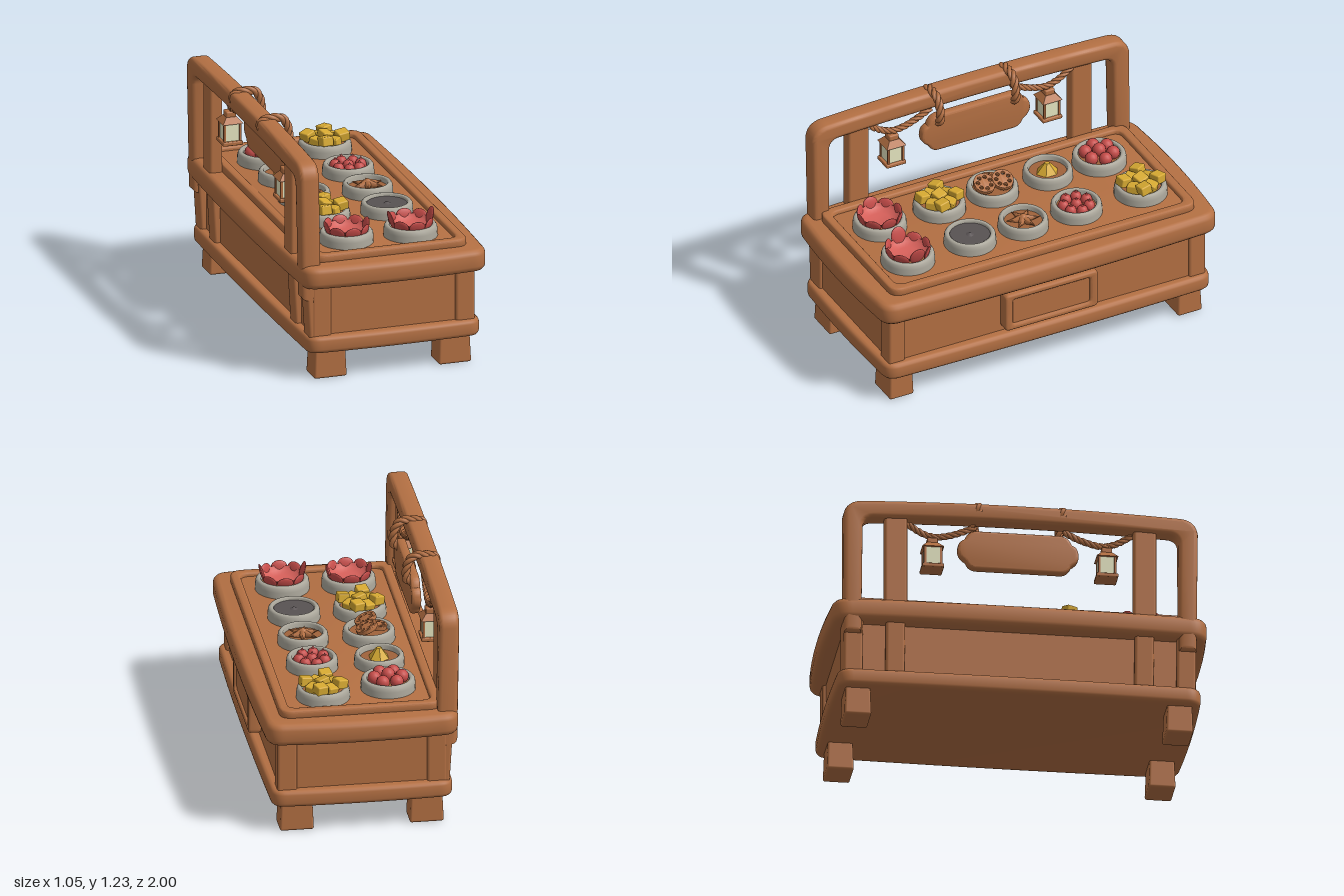
import * as THREE from 'three';
import { toCreasedNormals } from 'three/addons/utils/BufferGeometryUtils.js';
import { RoundedBoxGeometry } from 'three/addons/geometries/RoundedBoxGeometry.js';

const material = (name, color, side = THREE.FrontSide) => {
  const m = new THREE.MeshStandardMaterial({ color, side });
  m.name = name;
  return m;
};

export function createModel() {
  const root = new THREE.Group();
  root.name = 'foodCart';
  const wood = material('wood', 0xb47043);
  const darkWood = material('darkWood', 0xa0633b);
  const stone = material('stone', 0xaca89c, THREE.DoubleSide);
  const red = material('red', 0xc64c49);
  const pink = material('pink', 0xd6605a, THREE.DoubleSide);
  const yellow = material('yellow', 0xd6a932);
  const charcoal = material('charcoal', 0x585253);
  const glow = material('lampGlass', 0xeeeec8);

  const add = (name, geo, mat, x = 0, y = 0, z = 0, parent = root) => {
    const m = new THREE.Mesh(geo, mat);
    m.name = name;
    m.position.set(x, y, z);
    parent.add(m);
    return m;
  };
  const box = (w, h, d, r = 0.015) => new RoundedBoxGeometry(w, h, d, 2, r);

  // Rounded rectangle whose sides may bulge outward
  const roundRect = (w, h, r, bow = 0, S = THREE.Shape) => {
    const a = w / 2, b = h / 2, s = new S();
    s.moveTo(-a + r, -b);
    s.quadraticCurveTo(0, -b - 2 * bow, a - r, -b);
    s.quadraticCurveTo(a, -b, a, -b + r);
    s.quadraticCurveTo(a + 2 * bow, 0, a, b - r);
    s.quadraticCurveTo(a, b, a - r, b);
    s.quadraticCurveTo(0, b + 2 * bow, -a + r, b);
    s.quadraticCurveTo(-a, b, -a, b - r);
    s.quadraticCurveTo(-a - 2 * bow, 0, -a, -b + r);
    s.quadraticCurveTo(-a, -b, -a + r, -b);
    return s;
  };
  const extrude = (shape, depth, bevel) => {
    const g = new THREE.ExtrudeGeometry(shape, {
      depth: depth - 2 * bevel, bevelThickness: bevel, bevelSize: bevel,
      bevelOffset: -bevel, bevelSegments: 3, curveSegments: 10,
    });
    g.translate(0, 0, bevel - depth / 2);
    return toCreasedNormals(g, 0.7);
  };
  // Horizontal slab resting at height y
  const slab = (name, w, d, h, y, r, bevel, bow = 0, hole = null) => {
    const s = roundRect(w, d, r, bow);
    if (hole) s.holes.push(roundRect(hole[0], hole[1], 0.05, 0, THREE.Path));
    return add(name, extrude(s, h, bevel).rotateX(-Math.PI / 2), wood, 0, y + h / 2, 0);
  };

  // Cabinet
  slab('lowerRim', 0.95, 1.9, 0.09, 0.15, 0.08, 0.022, 0.01);
  slab('upperRim', 1.01, 1.96, 0.12, 0.51, 0.1, 0.032, 0.018);
  slab('counterFloor', 0.8, 1.72, 0.03, 0.618, 0.06, 0.005);
  slab('counterFrame', 0.845, 1.78, 0.05, 0.62, 0.07, 0.012, 0, [0.745, 1.68]);
  add('cabinetBody', new THREE.BoxGeometry(0.86, 0.34, 1.81), wood, 0, 0.37, 0);
  for (const sx of [-1, 1]) for (const sz of [-1, 1]) {
    add('cornerPost', box(0.105, 0.34, 0.095), wood, sx * 0.392, 0.37, sz * 0.875);
    const g = box(0.178, 0.18, 0.14, 0.012), p = g.attributes.position;
    for (let i = 0; i < p.count; i++) {
      const k = 0.96 - p.getY(i) * 0.5;
      p.setX(i, p.getX(i) * k);
      p.setZ(i, p.getZ(i) * k);
    }
    add('leg', g, wood, sx * 0.34, 0.09, sz * 0.84);
  }

  // Drawer front on the long side
  const drawer = roundRect(0.54, 0.22, 0.025);
  drawer.holes.push(roundRect(0.45, 0.15, 0.015, 0, THREE.Path));
  add('drawerFrame', extrude(drawer, 0.07, 0.012).rotateY(Math.PI / 2), wood, 0.461, 0.377, 0);
  add('drawerPanel', new THREE.BoxGeometry(0.06, 0.18, 0.48), wood, 0.452, 0.377, 0);

  // Back arch
  const arch = new THREE.Shape();
  arch.moveTo(0.92, 0.44);
  arch.lineTo(0.925, 1.1);
  arch.quadraticCurveTo(0.915, 1.18, 0.83, 1.185);
  arch.quadraticCurveTo(0, 1.225, -0.83, 1.185);
  arch.quadraticCurveTo(-0.915, 1.18, -0.925, 1.1);
  arch.lineTo(-0.92, 0.44);
  arch.lineTo(-0.83, 0.44);
  arch.lineTo(-0.825, 1.04);
  arch.quadraticCurveTo(-0.82, 1.09, -0.77, 1.092);
  arch.quadraticCurveTo(0, 1.125, 0.77, 1.092);
  arch.quadraticCurveTo(0.82, 1.09, 0.825, 1.04);
  arch.lineTo(0.83, 0.44);
  arch.closePath();
  const archGeo = extrude(arch, 0.105, 0.022).rotateY(-Math.PI / 2), ap = archGeo.attributes.position;
  // Lean the feet of the arch in toward the cabinet
  for (let i = 0; i < ap.count; i++) if (ap.getY(i) < 0.5) ap.setX(i, ap.getX(i) + (0.5 - ap.getY(i)) * 0.25);
  add('backArch', archGeo, wood, -0.457, 0, 0);
  for (const s of [-1, 1]) {
    add('innerPost', box(0.07, 0.56, 0.12), wood, -0.455, 0.85, s * 0.65);
    for (const z of [0.65, 0.87]) {
      const strip = add('backStrip', box(0.045, 0.32, 0.1), wood, -0.445, 0.37, s * z);
      strip.rotation.z = 0.06;
    }
  }

  // Hanging sign board with sloping shoulders
  const sign = new THREE.Shape();
  sign.moveTo(-0.22, 0.878);
  sign.lineTo(0.22, 0.878);
  sign.quadraticCurveTo(0.26, 0.88, 0.275, 0.92);
  sign.quadraticCurveTo(0.325, 0.95, 0.315, 1.0);
  sign.quadraticCurveTo(0.31, 1.035, 0.28, 1.045);
  sign.quadraticCurveTo(0.265, 1.09, 0.22, 1.095);
  sign.lineTo(-0.22, 1.095);
  sign.quadraticCurveTo(-0.265, 1.09, -0.28, 1.045);
  sign.quadraticCurveTo(-0.31, 1.035, -0.315, 1.0);
  sign.quadraticCurveTo(-0.325, 0.95, -0.275, 0.92);
  sign.quadraticCurveTo(-0.26, 0.88, -0.22, 0.878);
  add('signBoard', extrude(sign, 0.05, 0.014).rotateY(Math.PI / 2), wood, -0.378, 0, 0);

  // Twisted ropes made of three strands
  const rope = (name, pts, r, turns) => {
    const curve = new THREE.CatmullRomCurve3(pts.map(p => new THREE.Vector3(...p)));
    const n = 60, f = curve.computeFrenetFrames(n);
    for (let s = 0; s < 3; s++) {
      const strand = [];
      for (let i = 0; i <= n; i++) {
        const a = (i / n * turns + s / 3) * Math.PI * 2;
        strand.push(curve.getPointAt(i / n)
          .addScaledVector(f.normals[i], Math.cos(a) * r * 0.5)
          .addScaledVector(f.binormals[i], Math.sin(a) * r * 0.5));
      }
      add(name, new THREE.TubeGeometry(new THREE.CatmullRomCurve3(strand), 80, r * 0.6, 7), wood);
    }
  };
  for (const s of [-1, 1]) {
    const z = s * 0.22;
    rope('signRope', [[-0.495, 1.15, z], [-0.485, 1.19, z], [-0.43, 1.203, z], [-0.37, 1.195, z],
      [-0.34, 1.14, z], [-0.34, 1.07, z], [-0.37, 1.05, z]], 0.022, 2.5);
    rope('lampRope', [[-0.43, 1.1, s * 0.23], [-0.425, 1.06, s * 0.32], [-0.42, 1.035, s * 0.43],
      [-0.42, 1.05, s * 0.5], [-0.43, 1.1, s * 0.59]], 0.017, 4);

    // Lantern
    const lamp = new THREE.Group();
    lamp.name = 'lantern';
    lamp.position.set(-0.428, 0, s * 0.455);
    root.add(lamp);
    add('lampBase', box(0.11, 0.022, 0.115, 0.006), wood, 0, 0.85, 0, lamp);
    add('lampPane', new THREE.BoxGeometry(0.084, 0.1, 0.084), glow, 0, 0.91, 0, lamp);
    for (const x of [-1, 1]) for (const q of [-1, 1])
      add('lampBar', new THREE.BoxGeometry(0.012, 0.1, 0.012), wood, x * 0.042, 0.91, q * 0.042, lamp);
    const roof = new THREE.CylinderGeometry(0.04, 0.08, 0.032, 4).rotateY(Math.PI / 4);
    add('lampRoof', toCreasedNormals(roof, 0.5), wood, 0, 0.972, 0, lamp);
    add('lampCap', box(0.056, 0.034, 0.056, 0.008), wood, 0, 1.0, 0, lamp);
    add('lampRing', new THREE.TorusGeometry(0.018, 0.006, 6, 14).rotateY(Math.PI / 2), wood, 0, 1.024, 0, lamp);
  }

  // Bowl fillings
  const fill = {
    petals(g, tallHeight) {
      const cup = [[0, 0.69], [0.06, 0.693], [0.095, 0.708], [0.107, 0.73]];
      add('petalCup', new THREE.LatheGeometry(cup.map(p => new THREE.Vector2(...p)), 28), pink, 0, 0, 0, g);
      for (let i = 0; i < 8; i++) {
        const pivot = new THREE.Group();
        pivot.name = 'petalHolder';
        pivot.rotation.y = i / 8 * Math.PI * 2;
        g.add(pivot);
        const h = i % 4 ? 0.034 : tallHeight;
        const petal = add('petal', new THREE.SphereGeometry(1, 14, 10), red, 0.109, 0.688 + h, 0, pivot);
        petal.scale.set(0.01, h, 0.045);
        petal.rotation.z = -0.3;
      }
    },
    cubes(g) {
      for (let i = 0; i < 9; i++) {
        const x = (i % 3 - 1) * 0.066, z = (Math.floor(i / 3) - 1) * 0.066;
        const c = add('cube', box(0.066, 0.05, 0.066, 0.007), yellow, x, 0.71 + (i % 2 ? 0 : 0.022), z, g);
        c.rotation.set(Math.sin(i * 5) * 0.2, Math.sin(i * 3) * 0.4, Math.cos(i * 7) * 0.2);
      }
      g.rotation.y = 0.5;
    },
    apples(g) {
      for (let i = 0; i < 7; i++) {
        const a = i * Math.PI / 3, r = i < 6 ? 0.074 : 0;
        add('apple', new THREE.SphereGeometry(0.036, 14, 10), red, Math.cos(a) * r, i < 6 ? 0.71 : 0.725, Math.sin(a) * r, g);
      }
    },
    berries(g) {
      for (let i = 0; i < 8; i++) {
        const a = i * Math.PI * 2 / 7, r = i < 7 ? 0.074 : 0;
        const x = Math.cos(a) * r, z = Math.sin(a) * r;
        add('berry', new THREE.SphereGeometry(0.033, 12, 9), red, x, 0.692, z, g);
        add('berryTip', new THREE.ConeGeometry(0.011, 0.018, 6), red, x, 0.729, z, g);
      }
    },
    slices(g) {
      for (const [x, y, z, r, tilt] of [
        [0.02, 0.73, -0.052, 0.062, -0.4], [0.01, 0.73, 0.056, 0.062, -0.4], [-0.05, 0.715, 0, 0.052, 0.1]]) {
        const s = new THREE.Shape().absarc(0, 0, r, 0, Math.PI * 2);
        for (let i = 0; i < 7; i++) {
          const a = i * Math.PI * 2 / 7;
          s.holes.push(new THREE.Path().absarc(Math.cos(a) * r * 0.62, Math.sin(a) * r * 0.62, r * 0.17, 0, Math.PI * 2));
        }
        add('rootSlice', extrude(s, 0.026, 0.004).rotateX(-Math.PI / 2), wood, x, y, z, g).rotation.z = tilt;
      }
    },
    star(g) {
      for (let i = 0; i < 6; i++) {
        const a = i * Math.PI / 3 + 0.3;
        const c = add('spiceArm', new THREE.ConeGeometry(0.028, 0.1, 7).rotateZ(-Math.PI / 2), wood,
          Math.cos(a) * 0.05, 0.697, -Math.sin(a) * 0.05, g);
        c.rotation.y = a;
      }
      add('spiceCore', new THREE.SphereGeometry(0.025, 10, 8), wood, 0, 0.702, 0, g);
    },
    wedge(g) {
      const c = new THREE.CylinderGeometry(0.015, 0.066, 0.06, 6);
      const m = add('yellowWedge', toCreasedNormals(c, 0.4), yellow, 0.002, 0.708, 0.005, g);
      m.scale.z = 1.1;
    },
    sauce(g) {
      add('sauce', new THREE.CylinderGeometry(0.113, 0.113, 0.018, 32), charcoal, 0, 0.688, 0, g);
      add('saucePeak', new THREE.ConeGeometry(0.025, 0.012, 16), charcoal, 0, 0.702, 0, g);
    },
  };

  // Two rows of stone bowls
  const profile = [[0.146, 0.635], [0.145, 0.682], [0.141, 0.702], [0.133, 0.711], [0.121, 0.712], [0.113, 0.706], [0.11, 0.67]]
    .map(p => new THREE.Vector2(...p));
  for (const [x, z, r, kind, tallHeight] of [
    [-0.18, -0.625, 0.98, 'apples'], [-0.18, -0.325, 0.9, 'wedge'], [-0.175, 0, 0.94, 'slices'],
    [-0.175, 0.31, 0.95, 'cubes'], [-0.17, 0.66, 0.97, 'petals', 0.04],
    [0.17, -0.685, 0.96, 'cubes'], [0.17, -0.31, 0.93, 'berries'], [0.17, 0, 0.91, 'star'],
    [0.17, 0.31, 0.94, 'sauce'], [0.175, 0.675, 0.97, 'petals', 0.052],
  ]) {
    const bowl = new THREE.Group();
    bowl.name = kind + 'Bowl';
    bowl.position.set(x, 0, z);
    bowl.scale.set(r, 1, r);
    root.add(bowl);
    add('bowlWall', new THREE.LatheGeometry(profile, 32), stone, 0, 0, 0, bowl);
    add('bowlFloor', new THREE.CylinderGeometry(0.112, 0.112, 0.03, 28), darkWood, 0, 0.668, 0, bowl);
    fill[kind](bowl, tallHeight);
  }
  return root;
}
